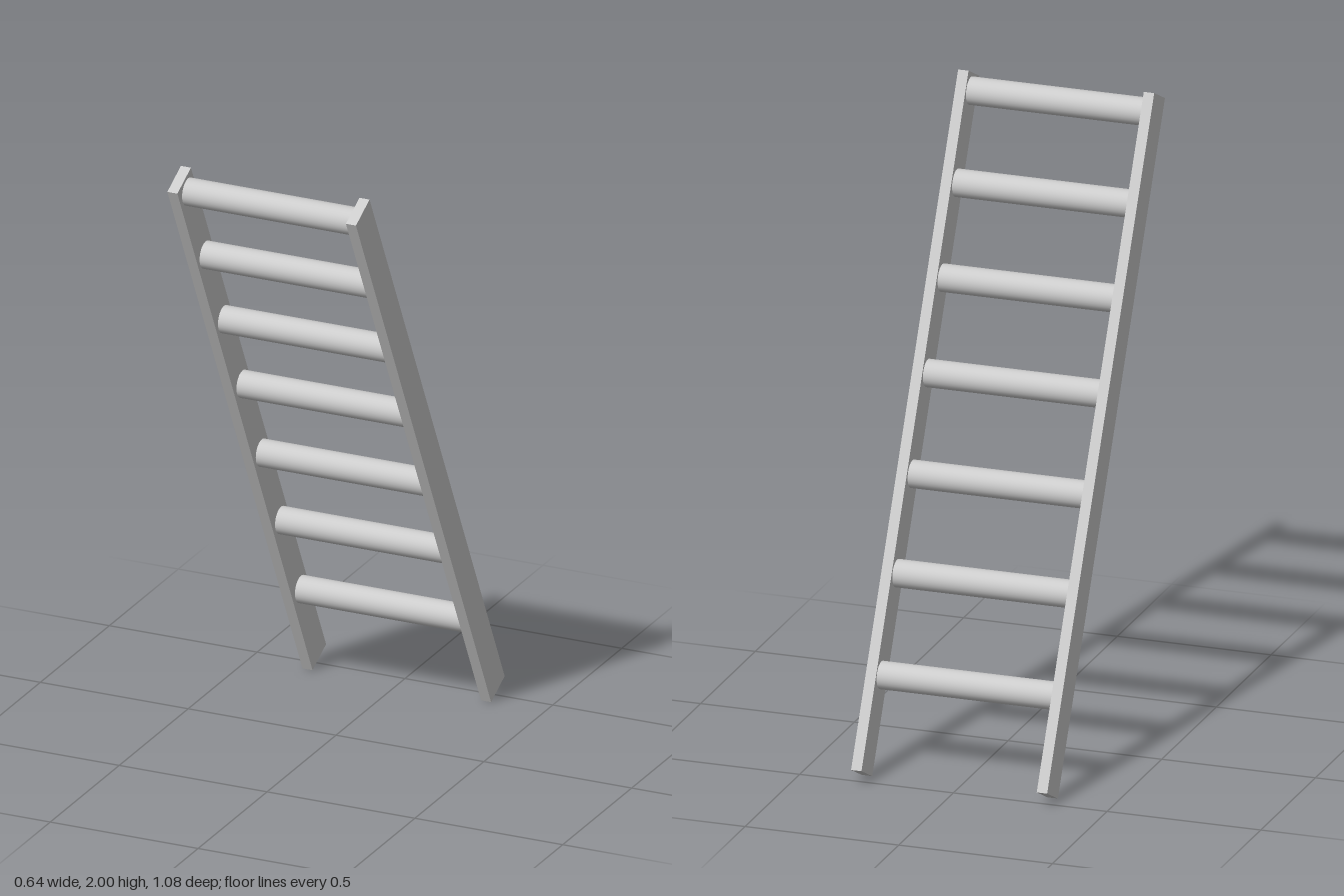
import * as THREE from 'three';

export function createModel() {
  const ladder = new THREE.Group();
  ladder.name = 'ladder';
  const material = new THREE.MeshStandardMaterial({ color: 0xcccccc });
  const lean = Math.atan2(0.98, 1.95);

  // Two flat side rails, leaning towards the front at the top
  const railGeometry = new THREE.BoxGeometry(0.034, 2.182, 0.11);
  for (const [name, side] of [['leftRail', 1], ['rightRail', -1]]) {
    const rail = new THREE.Mesh(railGeometry, material);
    rail.name = name;
    rail.position.set(side * 0.302, 1, 0);
    rail.rotation.x = lean;
    ladder.add(rail);
  }

  // Round rungs between the rails, spaced slightly unevenly: [y, z]
  const rungGeometry = new THREE.CylinderGeometry(0.044, 0.044, 0.574, 32).rotateZ(Math.PI / 2);
  const rungs = [
    [0.302, -0.357], [0.585, -0.213], [0.861, -0.073], [1.142, 0.067],
    [1.407, 0.201], [1.671, 0.334], [1.928, 0.461],
  ];
  rungs.forEach(([y, z], i) => {
    const rung = new THREE.Mesh(rungGeometry, material);
    rung.name = `rung${i + 1}`;
    rung.position.set(0, y, z);
    ladder.add(rung);
  });

  return ladder;
}
